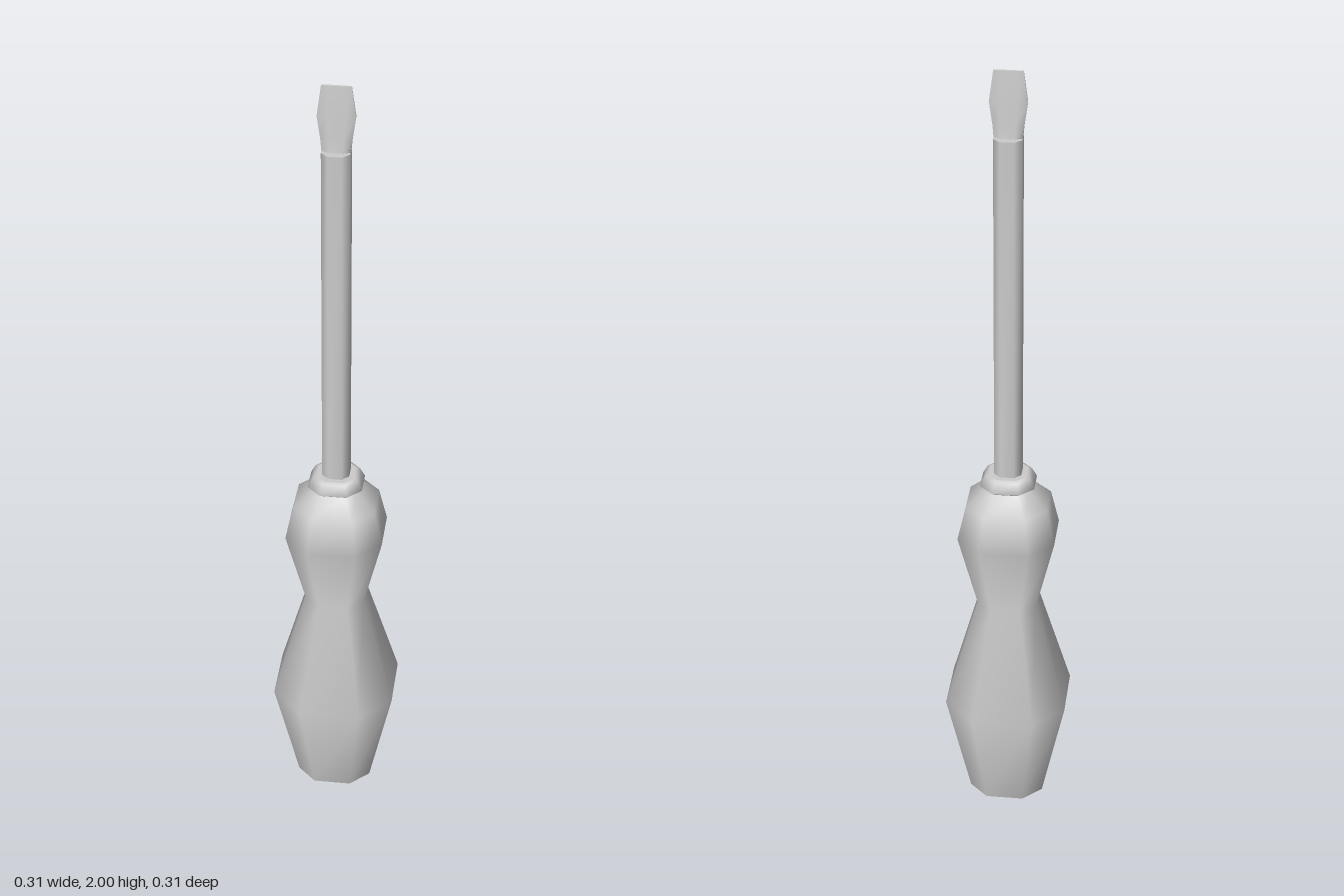
import * as THREE from 'three';

// Corners of a bevelled square, as fractions of the half width and half depth
const OCTAGON = [
  [1, -0.5], [1, 0.5], [0.5, 1], [-0.5, 1],
  [-1, 0.5], [-1, -0.5], [-0.5, -1], [0.5, -1],
];

// Skin eight-sided rings [y, halfWidth, halfDepth] from bottom to top, with flat end caps
function loft(name, rings) {
  const positions = [];
  const index = [];
  const n = OCTAGON.length;
  const addRing = ([y, w, d = w]) => {
    const start = positions.length / 3;
    for (const [x, z] of OCTAGON) positions.push(x * w, y, z * d);
    return start;
  };

  rings.forEach((ring, i) => {
    const start = addRing(ring);
    if (i === 0) return;
    for (let j = 0; j < n; j++) {
      const k = (j + 1) % n;
      const a = start - n + j, b = start - n + k;
      const c = start + j, d = start + k;
      index.push(a, c, b, b, c, d);
    }
  });

  // Caps have their own corners, so their rims stay sharp
  const bottom = addRing(rings[0]);
  const top = addRing(rings[rings.length - 1]);
  for (let j = 1; j < n - 1; j++) {
    index.push(bottom, bottom + j, bottom + j + 1);
    index.push(top, top + j + 1, top + j);
  }

  const geometry = new THREE.BufferGeometry();
  geometry.setAttribute('position', new THREE.Float32BufferAttribute(positions, 3));
  geometry.setIndex(index);
  geometry.computeVertexNormals();
  const mesh = new THREE.Mesh(geometry, new THREE.MeshStandardMaterial({ color: 0xcccccc }));
  mesh.name = name;
  return mesh;
}

export function createModel() {
  const model = new THREE.Group();
  model.name = 'screwdriver';

  model.add(
    // Waisted grip with a rounded shoulder
    loft('handle', [
      [0, 0.095], [0.285, 0.155], [0.575, 0.075],
      [0.775, 0.122], [0.865, 0.102], [0.91, 0.055], [0.92, 0.05],
    ]),
    // Flared ring where the shaft enters the handle
    loft('collar', [[0.908, 0.055], [0.918, 0.068], [0.943, 0.056], [0.947, 0.048]]),
    loft('shaft', [[0.92, 0.034], [1.838, 0.034]]),
    // Flattened tip, widest part-way up
    loft('blade', [
      [1.83, 0.033, 0.016], [1.87, 0.037, 0.011],
      [1.925, 0.045, 0.009], [2, 0.035, 0.003],
    ]),
  );
  return model;
}
